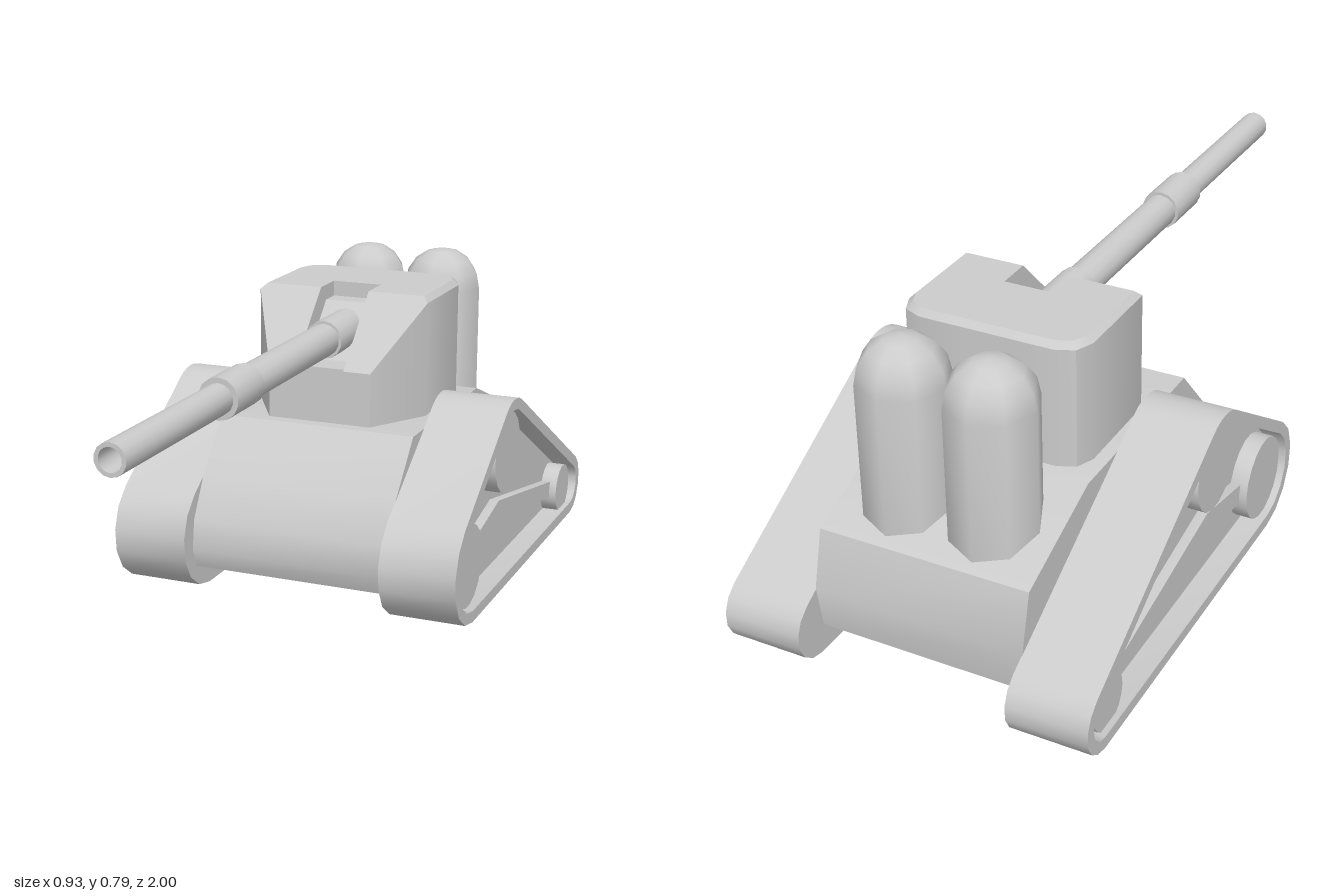
import * as THREE from 'three';
import { toCreasedNormals } from 'three/addons/utils/BufferGeometryUtils.js';
import { ConvexGeometry } from 'three/addons/geometries/ConvexGeometry.js';

const material = new THREE.MeshStandardMaterial({ color: 0xcccccc });

function addMesh(parent, name, geometry, crease = 0.7) {
  const mesh = new THREE.Mesh(toCreasedNormals(geometry, crease), material);
  mesh.name = name;
  parent.add(mesh);
  return mesh;
}

// Shape in the side plane from [z, y] pairs (shape x is -z)
const sideShape = (pts) => new THREE.Shape(pts.map(([z, y]) => new THREE.Vector2(-z, y)));

// Extrude a side-plane shape from x0 to x1
function extrudeX(shape, x0, x1) {
  const g = new THREE.ExtrudeGeometry(shape, { depth: x1 - x0, bevelEnabled: false, curveSegments: 12 });
  return g.rotateY(Math.PI / 2).translate(x0, 0, 0);
}

// Belt outline wrapped around circles [z, y, r], each arc in a few steps
function beltLoop(circles, steps = 6) {
  const n = circles.length;
  const tangent = circles.map(([z1, y1, r1], i) => {
    const [z2, y2, r2] = circles[(i + 1) % n];
    const du = z1 - z2, dv = y2 - y1;
    return Math.atan2(dv, du) - Math.acos((r1 - r2) / Math.hypot(du, dv));
  });
  const pts = [];
  circles.forEach(([z, y, r], i) => {
    const start = tangent[(i + n - 1) % n];
    const turn = 2 * Math.PI;
    const sweep = (((tangent[i] - start) % turn) + turn) % turn;
    for (let k = 0; k <= steps; k++) {
      const a = start + (sweep * k) / steps;
      pts.push([z - r * Math.cos(a), y + r * Math.sin(a)]);
    }
  });
  return pts;
}

function makeTrack(side) {
  const track = new THREE.Group();
  track.name = side > 0 ? 'leftTrack' : 'rightTrack';
  const span = (a, b) => (side > 0 ? [a, b] : [-b, -a]);
  const rollers = [[0.015, 0.145, 0.145], [-0.915, 0.085, 0.085], [-0.3, 0.37, 0.13]];
  const inner = beltLoop(rollers.map(([z, y, r]) => [z, y, r - 0.03]));

  // Belt rim and recessed side plate
  const belt = sideShape(beltLoop(rollers));
  belt.holes.push(sideShape(inner));
  addMesh(track, 'belt', extrudeX(belt, ...span(0.265, 0.465)));
  addMesh(track, 'sidePlate', extrudeX(sideShape(inner), ...span(0.265, 0.405)));

  // Wheels
  for (const [name, z, y, r] of [['frontWheel', 0.01, 0.145, 0.108],
    ['topWheel', -0.3, 0.355, 0.108], ['rearWheel', -0.87, 0.087, 0.069]]) {
    const g = new THREE.CylinderGeometry(r, r, 0.06, 18).rotateZ(Math.PI / 2);
    addMesh(track, name, g.translate(side * 0.42, y, z));
  }

  // Bent strut joining the front and rear wheels
  const strut = sideShape([[-0.08, 0.175], [-0.3, 0.22], [-0.81, 0.12],
    [-0.81, 0.075], [-0.3, 0.17], [-0.08, 0.12]]);
  addMesh(track, 'strut', extrudeX(strut, ...span(0.39, 0.43)));
  return track;
}

function makeTurret() {
  const turret = new THREE.Group();
  turret.name = 'turret';
  const slot = 0.067;

  // Cheeks either side of the gun slot
  const back = [[slot, -0.575], [0.17, -0.575], [0.216, -0.556], [0.235, -0.51]];
  const backTop = [[slot, -0.56], [0.165, -0.56], [0.204, -0.543], [0.22, -0.505]];
  const layers = [
    [0.44, [...back, [0.235, -0.26], [0.14, -0.1], [slot, -0.1]]],
    [0.58, [[0.14, -0.1], [slot, -0.1]]],
    [0.74, [...back, [0.235, -0.26]]],
    [0.755, [...backTop, [0.22, -0.275], [slot, -0.275]]],
  ];
  for (const side of [1, -1]) {
    const pts = layers.flatMap(([y, ring]) => ring.map(([x, z]) => new THREE.Vector3(side * x, y, z)));
    addMesh(turret, side > 0 ? 'leftCheek' : 'rightCheek', new ConvexGeometry(pts), 0.6);
  }

  // Centre section with the slot cut in its profile
  const centre = sideShape([[-0.1, 0.44], [-0.1, 0.585], [-0.18, 0.585], [-0.31, 0.715],
    [-0.365, 0.715], [-0.365, 0.755], [-0.56, 0.755], [-0.575, 0.74], [-0.575, 0.44]]);
  addMesh(turret, 'centreSection', extrudeX(centre, -slot, slot), 0.4);

  // Turret ring
  addMesh(turret, 'turretRing', new THREE.CylinderGeometry(0.22, 0.22, 0.03, 24).translate(0, 0.43, -0.34));

  // Gun barrel with sleeves and a hollow muzzle
  const profile = [[0, -0.3], [0.05, -0.3], [0.05, -0.13], [0.043, -0.13], [0.043, 0.35], [0.051, 0.35],
    [0.051, 0.495], [0.038, 0.495], [0.038, 1], [0.028, 1], [0.028, 0.88], [0, 0.88]];
  const barrel = new THREE.LatheGeometry(profile.map(([r, z]) => new THREE.Vector2(r, z)), 14);
  addMesh(turret, 'gunBarrel', barrel.rotateX(Math.PI / 2).translate(0, 0.65, 0));
  return turret;
}

export function createModel() {
  const model = new THREE.Group();
  model.name = 'tank';

  // Hull
  const hull = sideShape([[0.09, 0.07], [0.11, 0.12], [0.1, 0.2], [0.04, 0.305], [-0.08, 0.435],
    [-0.6, 0.435], [-0.88, 0.325], [-0.917, 0.18], [-0.9, 0.07]]);
  addMesh(model, 'hull', extrudeX(hull, -0.266, 0.266), 0.6);

  // Tracks and domed rear canisters, one of each per side
  const dome = [0, 1, 2, 3, 4].map((k) => {
    const a = (k * Math.PI) / 8;
    return new THREE.Vector2(0.11 * Math.cos(a), 0.685 + 0.108 * Math.sin(a));
  });
  for (const side of [1, -1]) {
    model.add(makeTrack(side));
    const canister = new THREE.LatheGeometry([new THREE.Vector2(0.11, 0.3), ...dome], 8);
    addMesh(model, side > 0 ? 'leftCanister' : 'rightCanister',
      canister.translate(side * 0.11, 0, -0.743), 1);
  }

  model.add(makeTurret());
  return model;
}
